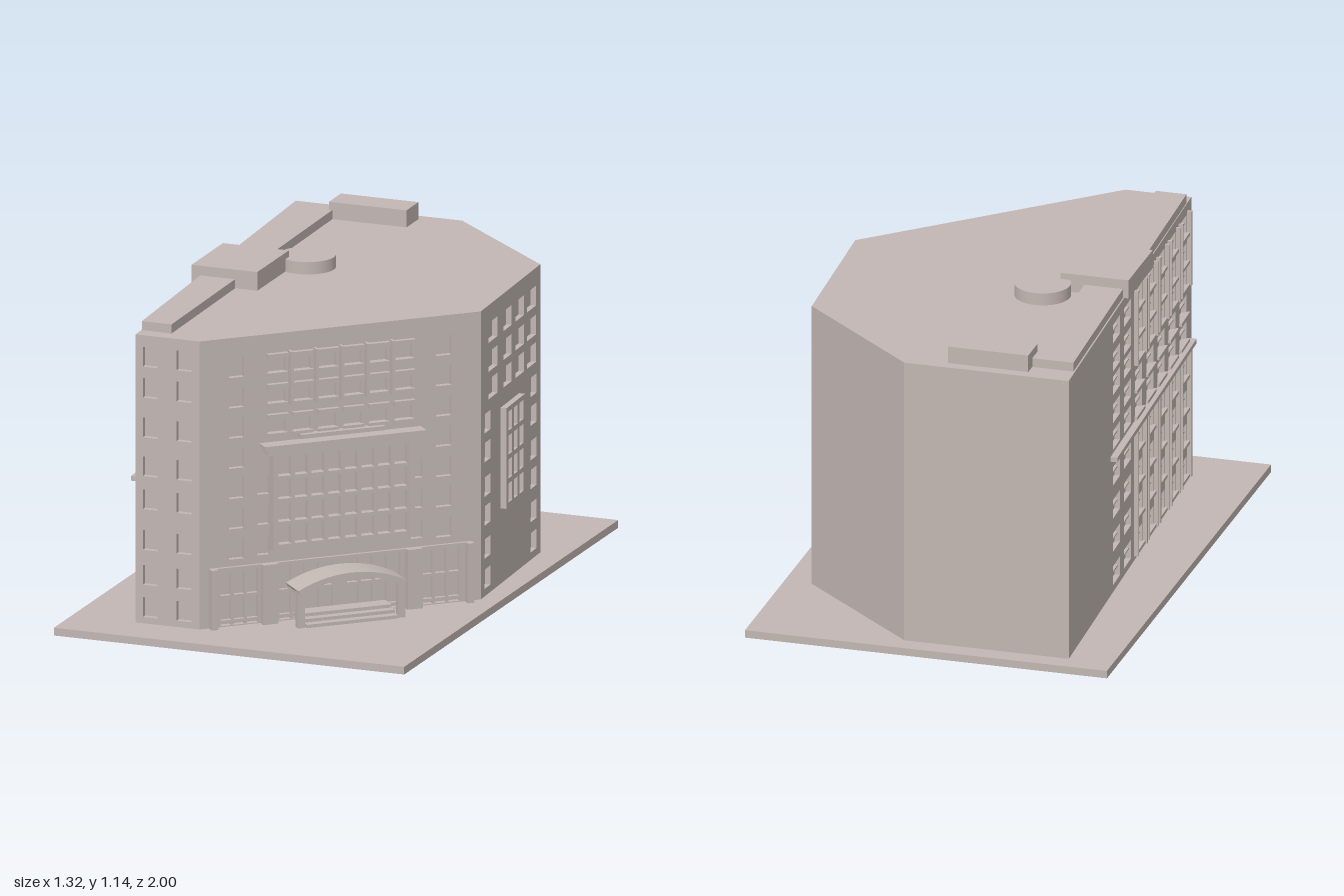
import * as THREE from 'three';

const stone = new THREE.MeshStandardMaterial({ color: 0xc2b7b3 });
stone.name = 'warm grey stone';

const GROUND = 0.028, EAVE = 1.065, ROOF = 1.075, RECESS = 0.02;
// footprint corners [x, z], anticlockwise seen from above
const plan = [[-0.5, -0.93], [-0.42, 0.83], [-0.18, 0.83], [0.59, 0.11], [0.56, -0.52], [0.1, -0.93]];

function add(parent, name, geometry) {
  const mesh = new THREE.Mesh(geometry, stone);
  mesh.name = name;
  parent.add(mesh);
  return mesh;
}

// box given by its limits
function box(parent, name, x0, x1, y0, y1, z0, z1) {
  const m = add(parent, name, new THREE.BoxGeometry(x1 - x0, y1 - y0, z1 - z0));
  m.position.set((x0 + x1) / 2, (y0 + y1) / 2, (z0 + z1) / 2);
  return m;
}

// upright sheet with rectangular openings [x0, x1, y0, y1]
function sheet(parent, name, x0, x1, y0, y1, holes, z, depth) {
  const rect = (C, [a, b, c, d]) => new C([[a, c], [b, c], [b, d], [a, d]].map(p => new THREE.Vector2(...p)));
  const s = rect(THREE.Shape, [x0, x1, y0, y1]);
  s.holes = holes.map(h => rect(THREE.Path, h));
  const m = add(parent, name, new THREE.ExtrudeGeometry(s, { depth, bevelEnabled: false }));
  m.position.z = z;
  return m;
}

// regular lattice of openings
function lattice(parent, name, x0, x1, y0, y1, cols, rows, bar, depth) {
  const holes = [], w = (x1 - x0 - bar) / cols, h = (y1 - y0 - bar) / rows;
  for (let i = 0; i < cols; i++) for (let j = 0; j < rows; j++)
    holes.push([x0 + bar + i * w, x0 + (i + 1) * w, y0 + bar + j * h, y0 + (j + 1) * h]);
  return sheet(parent, name, x0, x1, y0, y1, holes, 0, depth);
}

// openings from column ranges and row tops
const openings = (cols, tops, h) => cols.flatMap(([a, b]) => tops.map(t => [a, b, t - h, t]));

// wall along one side of the plan: x runs along it, z points outwards
function wall(parent, name, side, holes) {
  const a = plan[side], b = plan[(side + 1) % plan.length];
  const dx = b[0] - a[0], dz = b[1] - a[1];
  const g = new THREE.Group();
  g.name = name;
  g.position.set(a[0], 0, a[1]);
  g.rotation.y = Math.atan2(-dz, dx);
  parent.add(g);
  sheet(g, name + 'Face', 0, Math.hypot(dx, dz), GROUND, EAVE, holes, -RECESS, RECESS);
  return g;
}

// horizontal slab with a polygonal outline
function slab(parent, name, points, y0, y1) {
  const s = new THREE.Shape(points.map(([x, z]) => new THREE.Vector2(x, -z)));
  const m = add(parent, name, new THREE.ExtrudeGeometry(s, { depth: y1 - y0, bevelEnabled: false }));
  m.rotation.x = -Math.PI / 2;
  m.position.y = y0;
}

// footprint moved inwards by d
function inset(d) {
  const n = plan.length;
  return plan.map((p, i) => {
    const q = plan[(i + n - 1) % n], r = plan[(i + 1) % n];
    const u = new THREE.Vector2(p[0] - q[0], p[1] - q[1]).normalize();
    const v = new THREE.Vector2(r[0] - p[0], r[1] - p[1]).normalize();
    const k = d / (1 + u.dot(v));
    return [p[0] + (u.y + v.y) * k, p[1] - (u.x + v.x) * k];
  });
}

function buildEntranceSide(parent) {
  const mid = 0.527, both = ([a, b]) => [[a, b], [2 * mid - b, 2 * mid - a]];
  const tops = [1.005, 0.895, 0.785, 0.675, 0.565, 0.455, 0.345];
  const bays = [...Array(6)].map((_, i) => [0.257 + i * 0.095, 0.322 + i * 0.095]);
  const doors = [[0.075, 0.225], [0.295, 0.505], [0.549, 0.759], [0.829, 0.979]];
  const g = wall(parent, 'entranceWall', 2, [
    ...openings(both([0.11, 0.167]), tops, 0.075),
    ...openings(both([0.218, 0.262]), tops.slice(4), 0.07),
    ...openings(bays, tops.slice(0, 3), 0.072),
    ...openings(doors, [0.232], 0.2),
  ]);
  // lintels, sills and fins of the upper windows
  for (const [a, b] of bays) for (const t of tops.slice(0, 3)) {
    box(g, 'lintel', a - 0.006, b + 0.006, t - 0.018, t, -0.015, 0.018);
    box(g, 'sill', a - 0.006, b + 0.006, t - 0.08, t - 0.07, -0.015, 0.012);
  }
  for (let i = 0; i < 5; i++) box(g, 'windowFin', 0.332 + i * 0.095, 0.342 + i * 0.095, 0.815, 1.01, -0.005, 0.03);
  // large glazed bay with its cornice
  lattice(g, 'glazedBay', 0.272, 0.782, 0.3, 0.645, 8, 4, 0.014, 0.028);
  for (const x of [0.262, 0.772]) box(g, 'bayPier', x, x + 0.02, 0.295, 0.645, 0, 0.038);
  box(g, 'bayCornice', 0.24, 0.814, 0.645, 0.668, -0.005, 0.045);
  box(g, 'bayCap', 0.225, 0.829, 0.668, 0.682, -0.005, 0.055);
  box(g, 'bayCrest', 0.37, 0.684, 0.69, 0.705, -0.005, 0.03);
  // ground floor glazing bars, pilasters and band
  for (const [a, b] of doors) {
    const n = b - a > 0.18 ? 4 : 3;
    for (let i = 0; i <= n; i++) {
      const x = a + (b - a) * i / n;
      box(g, 'glazingBar', x - 0.005, x + 0.005, 0.03, 0.232, -RECESS, -0.002);
    }
    for (const y of [0.04, 0.13]) box(g, 'glazingRail', a, b, y, y + 0.01, -RECESS, -0.004);
  }
  for (const [a, b] of [...both([0.035, 0.06]), ...both([0.228, 0.285])])
    box(g, 'pilaster', a, b, GROUND, 0.245, -0.005, 0.03);
  box(g, 'groundBand', 0.06, 0.994, 0.232, 0.245, -0.005, 0.012);

  // arched porch on posts
  const half = 0.203, rise = 0.048, r = (half * half + rise * rise) / (2 * rise), t = Math.asin(half / r);
  const arch = new THREE.Shape();
  arch.absarc(0, 0, r, Math.PI / 2 - t, Math.PI / 2 + t, false);
  arch.absarc(0, 0, r - 0.02, Math.PI / 2 + t, Math.PI / 2 - t, true);
  const roof = add(g, 'porchRoof', new THREE.ExtrudeGeometry(arch, { depth: 0.12, bevelEnabled: false, curveSegments: 12 }));
  roof.position.set(mid, 0.213 - r, 0);
  for (const s of [-1, 1]) {
    box(g, 'porchPost', mid + s * 0.188 - 0.013, mid + s * 0.188 + 0.013, GROUND, 0.16, 0.088, 0.114);
    box(g, 'porchBeam', mid + s * 0.188 - 0.01, mid + s * 0.188 + 0.01, 0.145, 0.16, 0, 0.114);
  }
  for (let i = 0; i < 3; i++)
    box(g, 'step', mid - 0.17, mid + 0.17, GROUND, 0.04 + i * 0.012, 0, 0.12 - i * 0.03);
}

function buildLongSide(parent) {
  const tops = [1.035, 0.93, 0.84, 0.735, 0.635, 0.5, 0.375, 0.25, 0.125];
  const cols = [...Array(7)].map((_, i) => [0.635 + i * 0.16, 0.735 + i * 0.16]);
  const g = wall(parent, 'longWall', 0, openings(cols, tops, 0.07));
  box(g, 'beltCourse', 0.6, 1.74, 0.535, 0.552, -0.005, 0.025);
  cols.forEach(([a, b], i) => {
    for (const t of tops) {
      box(g, 'crossBar', a, b, t - 0.038, t - 0.032, -RECESS, -0.008);
      if (i > 1) box(g, 'sill', a - 0.008, b + 0.008, t - 0.08, t - 0.068, -0.005, 0.01);
    }
    // paired fins beside the main bays
    if (i > 1) for (const x of [a - 0.018, b + 0.008]) {
      box(g, 'lowerFin', x, x + 0.01, 0.045, 0.535, -0.005, 0.016);
      box(g, 'upperFin', x, x + 0.01, 0.765, 1.045, -0.005, 0.016);
    }
  });
}

export function createModel() {
  const model = new THREE.Group();
  model.name = 'officeBuilding';
  box(model, 'basePlate', -0.66, 0.66, 0, GROUND, -1, 1);
  slab(model, 'core', inset(RECESS), GROUND, EAVE);
  slab(model, 'roof', plan, EAVE, ROOF);

  buildLongSide(model);
  wall(model, 'frontWall', 1, openings([[0.027, 0.083], [0.154, 0.21]],
    [1.033, 0.92, 0.776, 0.635, 0.515, 0.367, 0.24, 0.123], 0.072));
  buildEntranceSide(model);

  const side = wall(model, 'sideWall', 3, [
    ...openings([[0.083, 0.175], [0.242, 0.325], [0.37, 0.455], [0.492, 0.585]], [1.01, 0.905, 0.805], 0.072),
    ...openings([[0.04, 0.1], [0.527, 0.59]], [0.69, 0.585, 0.46, 0.355, 0.235, 0.125], 0.07),
  ]);
  lattice(side, 'sideBay', 0.21, 0.405, 0.302, 0.668, 3, 4, 0.018, 0.022);
  wall(model, 'rearDiagonalWall', 4, []);
  wall(model, 'rearWall', 5, []);

  // rooftop structures
  slab(model, 'roofRidge', [[-0.49, -0.84], [-0.42, 0.772], [-0.308, 0.772], [-0.328, -0.84]], ROOF, 1.108);
  box(model, 'liftHouse', -0.48, -0.232, ROOF, 1.143, -0.135, 0.16);
  box(model, 'plantBox', -0.34, -0.048, ROOF, 1.137, -0.89, -0.777);
  const drum = add(model, 'roofDrum', new THREE.CylinderGeometry(0.099, 0.099, 0.045, 40));
  drum.position.set(-0.183, ROOF + 0.0225, -0.188);
  return model;
}
